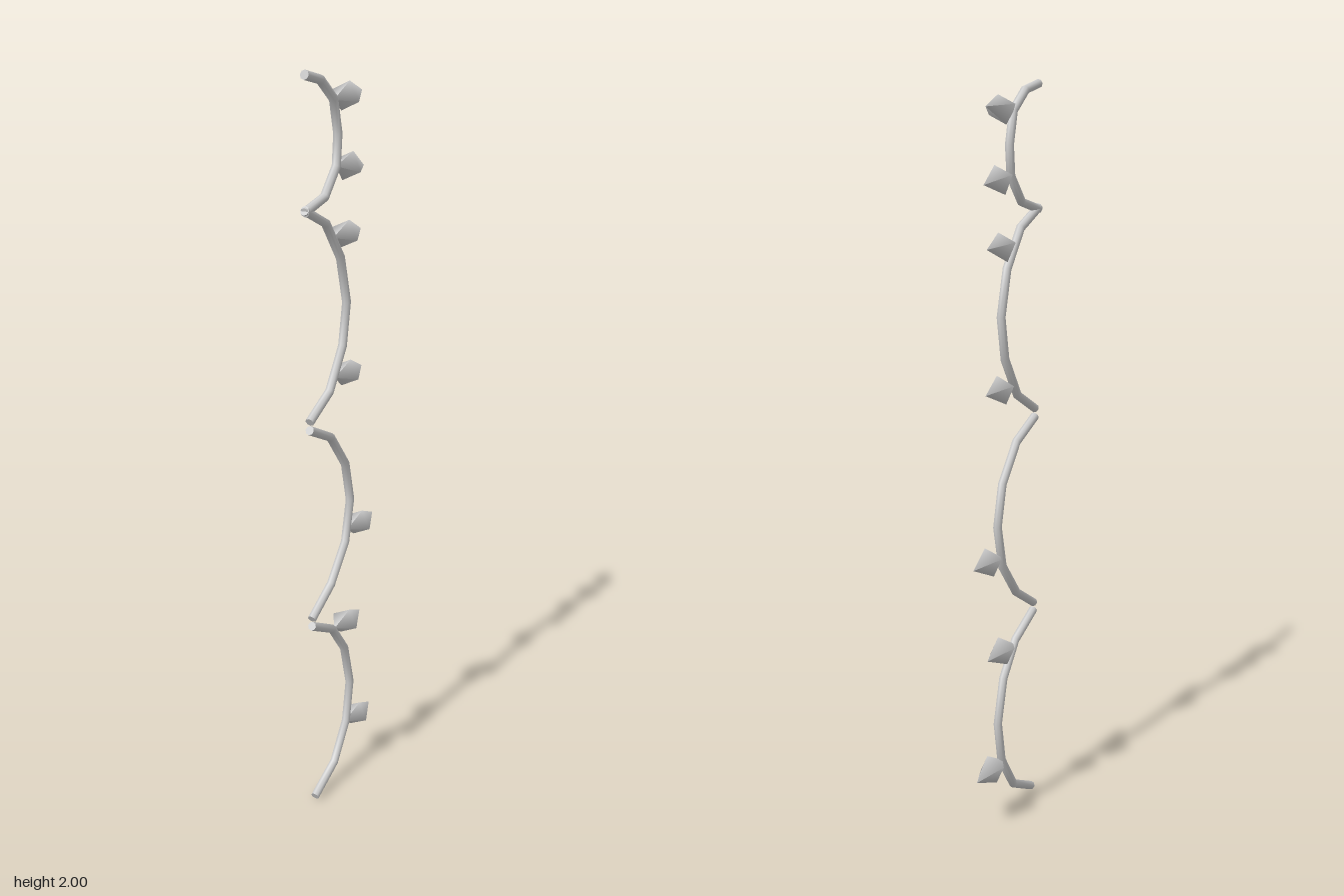
import * as THREE from 'three';

const material = new THREE.MeshStandardMaterial({ color: 0xcccccc, side: THREE.DoubleSide });
const STEM_RADIUS = 0.012;

// Straight-segment path lying in the x = 0 plane, points given as [z, y]
class BentPath extends THREE.Curve {
  constructor(points) {
    super();
    this.points = points.map(([z, y]) => new THREE.Vector3(0, y, z));
  }
  getPoint(t, target = new THREE.Vector3()) {
    const p = this.points, s = t * (p.length - 1);
    const i = Math.min(Math.floor(s + 1e-9), p.length - 2);
    return target.lerpVectors(p[i], p[i + 1], s - i);
  }
  getPointAt(t, target) {
    return this.getPoint(t, target);
  }
  // Mitred direction at each bend
  getTangentAt(t, target = new THREE.Vector3()) {
    const p = this.points, i = Math.round(t * (p.length - 1));
    target.set(0, 0, 0);
    if (i > 0) target.add(p[i].clone().sub(p[i - 1]).normalize());
    if (i < p.length - 1) target.add(p[i + 1].clone().sub(p[i]).normalize());
    return target.normalize();
  }
}

// One arched length of vine with closed ends
function createStem(points) {
  const stem = new THREE.Group();
  stem.name = 'stemArc';
  const path = new BentPath(points);
  const tube = new THREE.Mesh(new THREE.TubeGeometry(path, points.length - 1, STEM_RADIUS, 8), material);
  tube.name = 'stem';
  stem.add(tube);
  for (const t of [0, 1]) {
    const cap = new THREE.Mesh(new THREE.CircleGeometry(STEM_RADIUS, 8), material);
    const out = path.getTangentAt(t).multiplyScalar(t ? 1 : -1);
    cap.quaternion.setFromUnitVectors(new THREE.Vector3(0, 0, 1), out);
    cap.position.copy(path.getPoint(t));
    cap.name = 'stemEnd';
    stem.add(cap);
  }
  return stem;
}

// Four-sided thorn, widest a little before its middle, pointing to -z
const thornGeometry = new THREE.LatheGeometry(
  [[0, 0], [0.0395, 0.06], [0, 0.145]].map(([r, y]) => new THREE.Vector2(r, y)), 4);
thornGeometry.rotateX(-Math.PI / 2).rotateZ(-0.35);

export function createModel() {
  const vine = new THREE.Group();
  vine.name = 'thornyVine';

  const arcs = [
    [[0.146, 0.013], [0.037, 0.066], [-0.032, 0.167], [-0.053, 0.283], [-0.021, 0.405], [0.048, 0.495], [0.156, 0.551]],
    [[0.156, 0.572], [0.053, 0.633], [-0.026, 0.729], [-0.053, 0.845], [-0.026, 0.957], [0.053, 1.057], [0.16, 1.108]],
    [[0.16, 1.13], [0.058, 1.184], [-0.011, 1.29], [-0.032, 1.402], [0, 1.524], [0.074, 1.624], [0.176, 1.672]],
    [[0.176, 1.667], [0.08, 1.69], [0.021, 1.757], [0.013, 1.836], [0.034, 1.921], [0.098, 1.972], [0.172, 1.989]],
  ];
  arcs.forEach((points) => vine.add(createStem(points)));

  // Thorn bases: z, y, pitch
  const thorns = [
    [-0.026, 0.165, -0.06], [0.035, 0.489, -0.03], [-0.038, 0.76, 0], [0.03, 1.213, -0.02],
    [0.038, 1.581, 0], [0.022, 1.757, -0.11], [0.034, 1.918, 0.08],
  ];
  for (const [z, y, pitch] of thorns) {
    const thorn = new THREE.Mesh(thornGeometry, material);
    thorn.name = 'thorn';
    thorn.position.set(0, y, z);
    thorn.rotation.x = pitch;
    vine.add(thorn);
  }
  return vine;
}
